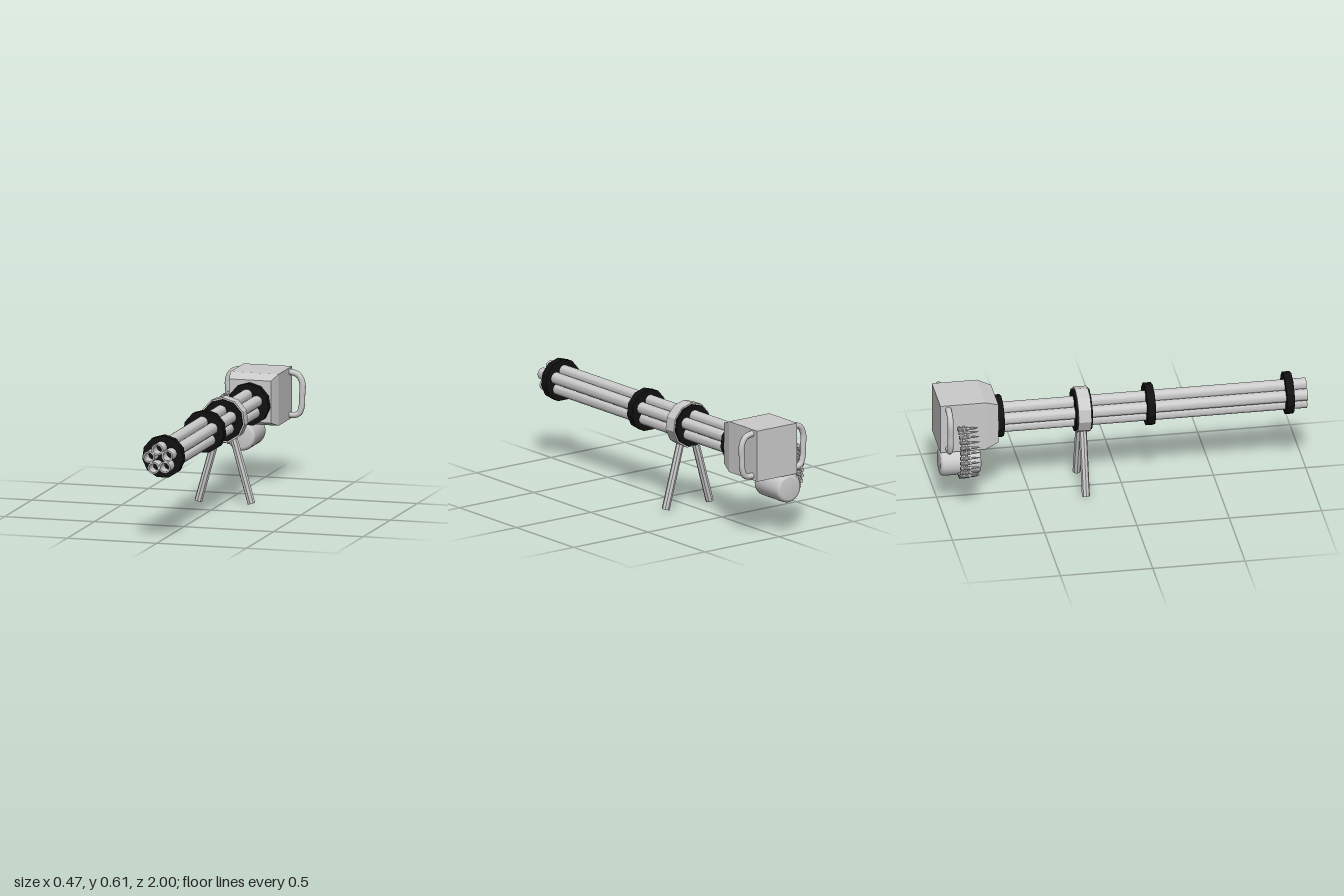
import * as THREE from 'three';
import { toCreasedNormals } from 'three/addons/utils/BufferGeometryUtils.js';

const grey = new THREE.MeshStandardMaterial({ color: 0xcccccc });
const greyFlat = new THREE.MeshStandardMaterial({ color: 0xcccccc, flatShading: true });
const black = new THREE.MeshStandardMaterial({ color: 0x111111, flatShading: true });
const CX = 0.01, CY = 0.456; // barrel axis

// Lathe turned about the z axis; profile is [radius, z] from back to front
function latheZ(profile, sides, crease = 0.6) {
  const g = new THREE.LatheGeometry(profile.map(p => new THREE.Vector2(p[0], p[1])), sides, Math.PI);
  g.rotateX(Math.PI / 2);
  return crease ? toCreasedNormals(g, crease) : g;
}

// Cylinder between two points
function rod(a, b, r, sides, material) {
  const d = b.clone().sub(a);
  const m = new THREE.Mesh(new THREE.CylinderGeometry(r, r, d.length(), sides), material);
  m.position.copy(a).add(b).multiplyScalar(0.5);
  m.quaternion.setFromUnitVectors(new THREE.Vector3(0, 1, 0), d.normalize());
  return m;
}

export function createModel() {
  const model = new THREE.Group();
  const add = (name, mesh, x = 0, y = 0, z = 0, parent = model) => {
    mesh.name = name;
    mesh.position.add(new THREE.Vector3(x, y, z));
    parent.add(mesh);
    return mesh;
  };

  // Five hollow barrels around the axis
  const barrelGeo = latheZ([[0.032, -0.69], [0.032, 1], [0.0235, 1], [0.0235, 0.9], [0, 0.9]], 20);
  const barrels = new THREE.Group();
  barrels.name = 'barrels';
  model.add(barrels);
  for (let i = 0; i < 5; i++) {
    const a = THREE.MathUtils.degToRad(-6 + i * 72);
    add('barrel', new THREE.Mesh(barrelGeo, grey),
      0.008 + 0.054 * Math.sin(a), 0.454 + 0.054 * Math.cos(a), 0, barrels);
  }

  // Black clamp discs: [back z, front z]
  for (const [z0, z1] of [[0.882, 0.924], [0.128, 0.172], [-0.26, -0.17], [-0.69, -0.647]]) {
    const g = latheZ([[0, z0], [0.1155, z0], [0.1155, z1], [0, z1]], 11, 0);
    add('clampDisc', new THREE.Mesh(g, black), CX, CY);
  }

  // Faceted collar that carries the bipod
  add('collar', new THREE.Mesh(latheZ(
    [[0.11, -0.248], [0.124, -0.248], [0.124, -0.178], [0.11, -0.178], [0.11, -0.248]], 11, 0), greyFlat), CX, CY);

  // Bipod legs
  for (const s of [-1, 1]) {
    add(s < 0 ? 'rightLeg' : 'leftLeg', rod(
      new THREE.Vector3(0.0125 + s * 0.148, 0.006, -0.214),
      new THREE.Vector3(0.0125 + s * 0.05, 0.352, -0.214), 0.0215, 8, greyFlat));
  }

  // Housing: a box with a narrowed front
  const box = new THREE.BoxGeometry(2, 2, 2, 1, 1, 2);
  const p = box.attributes.position;
  for (let i = 0; i < p.count; i++) {
    const layer = Math.round(p.getZ(i)); // -1 back, 0 shoulder, 1 front
    const [hx, hy] = layer === 1 ? [0.116, 0.114] : [0.135, 0.14];
    p.setXYZ(i, 0.0135 + p.getX(i) * hx - (layer === 1 ? 0.003 : 0), 0.47 + p.getY(i) * hy,
      [-1, -0.755, -0.683][layer + 1]);
  }
  add('housing', new THREE.Mesh(box, greyFlat));

  // Side handles, mirrored about the housing
  const handlePath = [[0.115, 0.587], [0.146, 0.586], [0.184, 0.573], [0.207, 0.53], [0.2045 + 0.001, 0.4545],
    [0.2045, 0.41], [0.19, 0.366], [0.17, 0.355], [0.146, 0.353], [0.115, 0.353]];
  for (const s of [-1, 1]) {
    const curve = new THREE.CatmullRomCurve3(
      handlePath.map(([x, y]) => new THREE.Vector3(0.0125 + s * x, y, -0.957)));
    add(s < 0 ? 'rightHandle' : 'leftHandle',
      new THREE.Mesh(new THREE.TubeGeometry(curve, 28, 0.0165, 10), grey));
  }

  // Ammunition drum with rounded rims
  const R = 0.079, f = 0.02, rim = [[0, -1]];
  for (let i = 0; i <= 4; i++) {
    const a = i * Math.PI / 8;
    rim.push([R - f + f * Math.sin(a), -1 + f - f * Math.cos(a)]);
  }
  const drum = [...rim, ...rim.map(([r, z]) => [r, -1.78 - z]).reverse()];
  add('ammoDrum', new THREE.Mesh(latheZ(drum, 32), grey), -0.073, 0.254);

  // Cartridge belt from drum to housing
  const belt = new THREE.Group();
  belt.name = 'ammoBelt';
  model.add(belt);
  const beltCurve = new THREE.CatmullRomCurve3([[-0.115, 0.476], [-0.141, 0.476], [-0.175, 0.467], [-0.204, 0.446],
    [-0.219, 0.415], [-0.226, 0.36], [-0.228, 0.31], [-0.224, 0.27], [-0.213, 0.232], [-0.19, 0.212],
    [-0.16, 0.206], [-0.125, 0.21]].map(([x, y]) => new THREE.Vector3(x, y, -0.887)));
  const cartridgeGeo = latheZ([[0, -0.91], [0.01, -0.91], [0.01, -0.858], [0.0065, -0.85],
    [0.006, -0.83], [0.003, -0.81], [0, -0.8]], 10);
  const spots = beltCurve.getSpacedPoints(14);
  spots.forEach((s, i) => {
    if (i > 0 && i < 14) add('cartridge', new THREE.Mesh(cartridgeGeo, grey), s.x, s.y, 0, belt);
    if (i < 14) {
      for (const dz of [-0.012, 0.012]) {
        add('beltLink', rod(s, spots[i + 1], 0.006, 8, grey), 0, 0, dz, belt);
      }
    }
  });
  return model;
}
